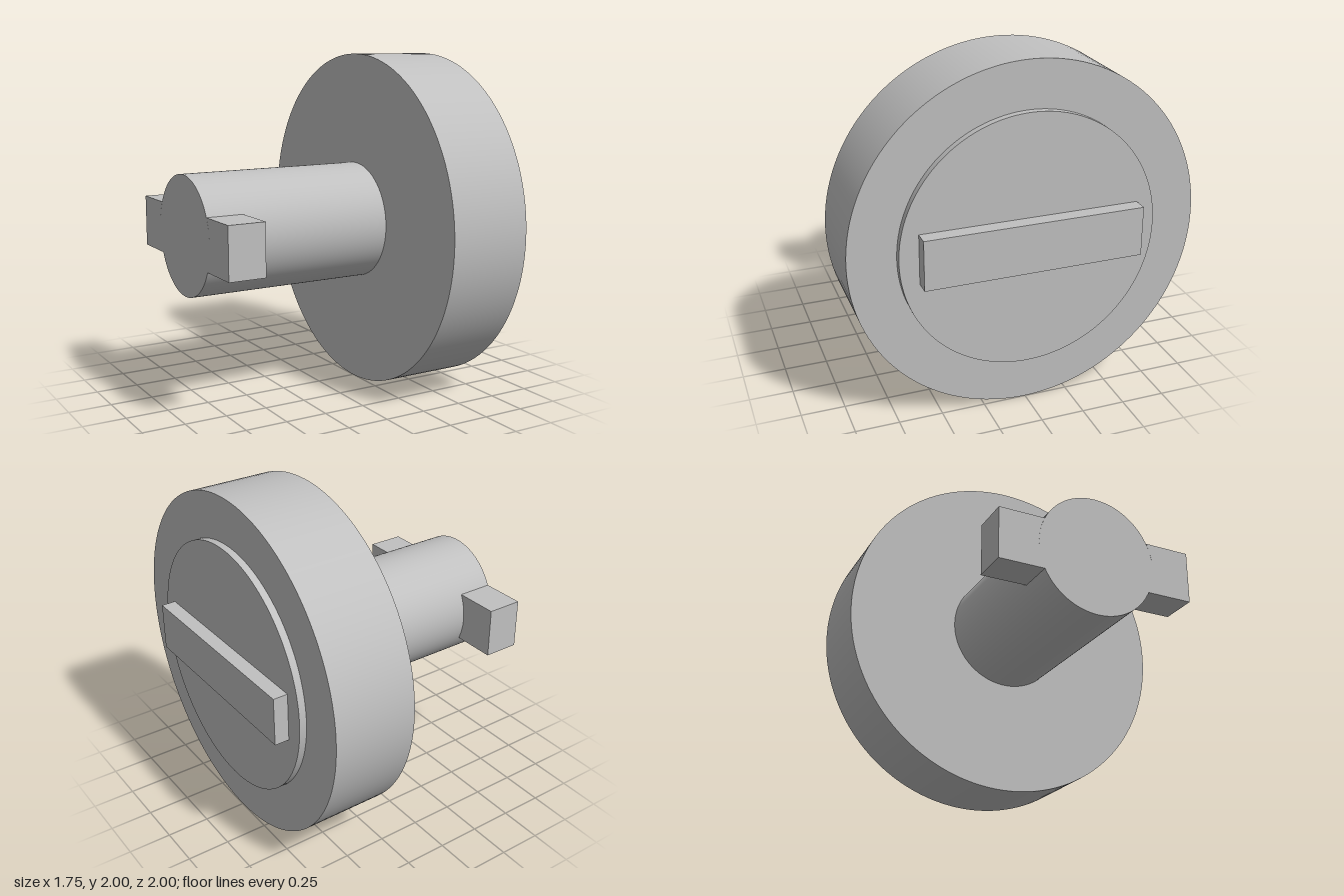
import * as THREE from 'three';

const SHAFT_RADIUS = 0.348;

export function createModel() {
  const model = new THREE.Group();
  model.name = 'bayonetCap';
  const grey = new THREE.MeshStandardMaterial({ color: 0xc0c0c0 });
  grey.name = 'plain grey';

  const add = (name, geometry) => {
    const mesh = new THREE.Mesh(geometry, grey);
    mesh.name = name;
    model.add(mesh);
    return mesh;
  };

  // Round parts share the x axis at y = 1
  const disc = (name, radius, x0, x1) => {
    const geometry = new THREE.CylinderGeometry(radius, radius, x1 - x0, 128);
    geometry.rotateZ(-Math.PI / 2);
    add(name, geometry).position.set((x0 + x1) / 2, 1, 0);
  };
  disc('shaft', SHAFT_RADIUS, -0.877, 0.25);
  disc('head', 1, 0.25, 0.748);
  disc('raisedFace', 0.733, 0.748, 0.79);

  // Grip bar across the raised face
  add('gripBar', new THREE.BoxGeometry(0.085, 0.286, 1.248)).position.set(0.8325, 1.002, 0);

  // Locking lugs, curved on the inside to meet the shaft and flush with its end
  const half = 0.15, outer = 0.58;
  const angle = Math.asin(half / SHAFT_RADIUS);
  const profile = new THREE.Shape();
  profile.moveTo(outer, -half);
  profile.lineTo(outer, half);
  profile.absarc(0, 0, SHAFT_RADIUS, angle, -angle, true);
  profile.closePath();
  const lugGeometry = new THREE.ExtrudeGeometry(profile, {
    depth: 0.217, bevelEnabled: false, curveSegments: 16,
  });
  lugGeometry.rotateY(-Math.PI / 2);
  for (const [name, turn] of [['frontLug', 0], ['backLug', Math.PI]]) {
    const lug = add(name, lugGeometry);
    lug.position.set(-0.66, 1.002, 0);
    lug.rotation.x = turn;
  }

  return model;
}
